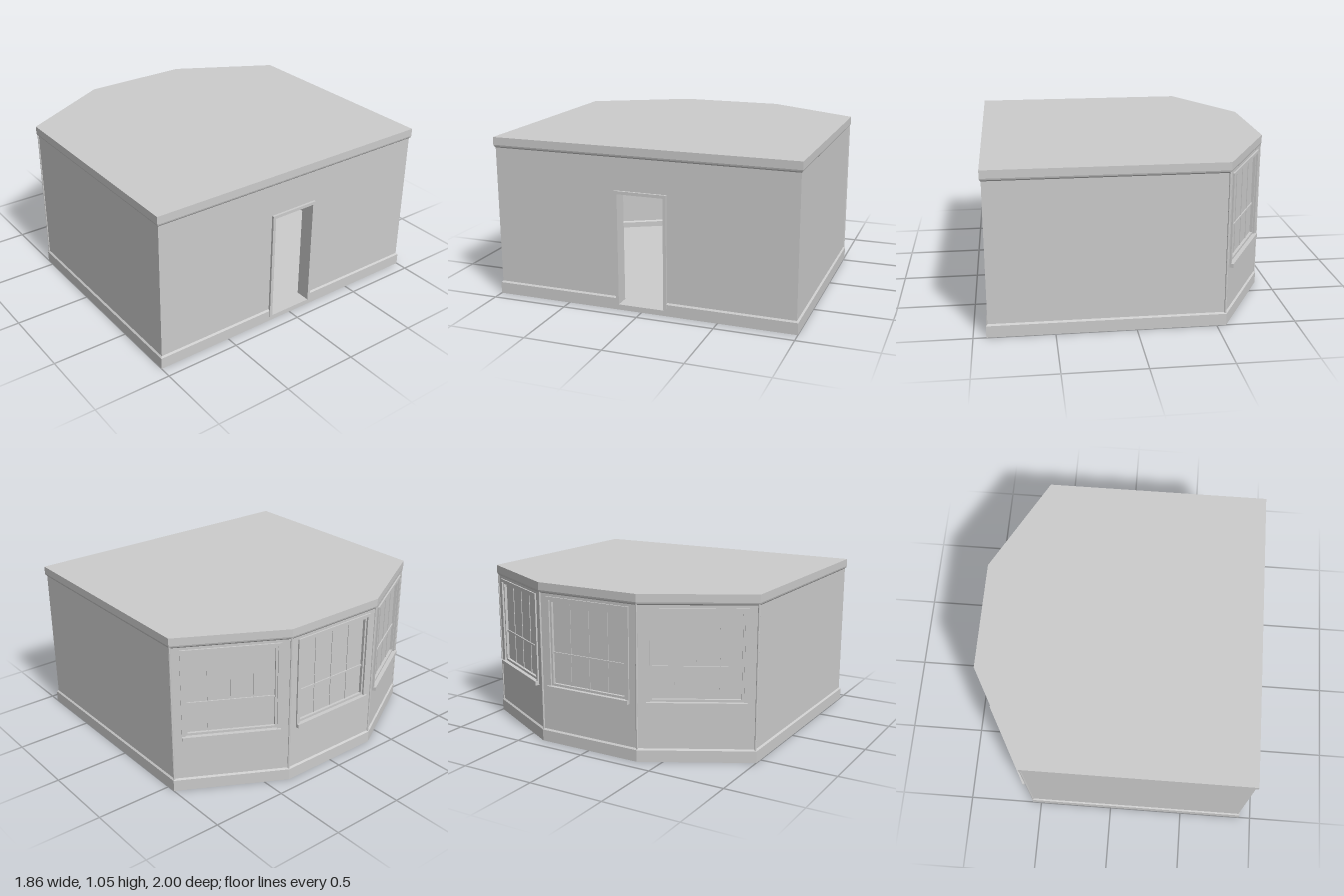
import * as THREE from 'three';

const material = new THREE.MeshStandardMaterial({ color: 0xcccccc, side: THREE.DoubleSide, flatShading: true });
const FLOOR = 0.035, CEILING = 1.01, TOP = 1.05;
const OUTER = 0.01, INNER = 0.08; // wall faces, inset from the slab edge

// footprint corners [x, z]: a square room with a three-sided bay at -x
const room = [[0.92, 1], [-0.56, 1], [-0.915, 0.36], [-0.915, -0.36], [-0.56, -1], [0.92, -1]];
const DOOR_EDGE = 5;
const roomWithDoor = [...room, [0.92, -0.165], [0.92, 0.165]];

function outward(points, i) {
  const n = points.length, a = points[(i + n) % n], b = points[(i + 1) % n];
  const dx = b[0] - a[0], dz = b[1] - a[1], l = Math.hypot(dx, dz);
  return [dz / l, -dx / l];
}

// footprint moved inwards by d with mitred corners
function inset(points, d) {
  return points.map((p, i) => {
    const m = outward(points, i - 1), n = outward(points, i);
    const k = d / (1 + m[0] * n[0] + m[1] * n[1]);
    return [p[0] - k * (m[0] + n[0]), p[1] - k * (m[1] + n[1])];
  });
}

function add(parent, name, geometry) {
  const mesh = new THREE.Mesh(geometry, material);
  mesh.name = name;
  parent.add(mesh);
  return mesh;
}

// moulding that follows the footprint; profile is [inset, y] from low to high
function moulding(points, profile, skipEdge = -1) {
  const pos = [];
  for (let k = 0; k < profile.length - 1; k++) {
    const low = inset(points, profile[k][0]), high = inset(points, profile[k + 1][0]);
    const y0 = profile[k][1], y1 = profile[k + 1][1];
    points.forEach((_, i) => {
      if (i === skipEdge) return;
      const j = (i + 1) % points.length;
      const pl = [low[i][0], y0, low[i][1]], ql = [low[j][0], y0, low[j][1]];
      const ph = [high[i][0], y1, high[i][1]], qh = [high[j][0], y1, high[j][1]];
      pos.push(...pl, ...qh, ...ql, ...pl, ...ph, ...qh);
    });
  }
  const g = new THREE.BufferGeometry();
  g.setAttribute('position', new THREE.Float32BufferAttribute(pos, 3));
  g.computeVertexNormals();
  return g;
}

function slab(y0, y1) {
  const shape = new THREE.Shape(room.map(([x, z]) => new THREE.Vector2(x, -z)));
  return new THREE.ExtrudeGeometry(shape, { depth: y1 - y0, bevelEnabled: false })
    .rotateX(-Math.PI / 2).translate(0, y0, 0);
}

function rectangle(Type, x0, x1, y0, y1) {
  return new Type([[x0, y0], [x1, y0], [x1, y1], [x0, y1]].map(([x, y]) => new THREE.Vector2(x, y)));
}

// rectangular frame: outer and opening are [halfWidth, bottom, top]
function frame(outer, opening, z0, z1) {
  const shape = rectangle(THREE.Shape, -outer[0], outer[0], outer[1], outer[2]);
  shape.holes.push(rectangle(THREE.Path, -opening[0], opening[0], opening[1], opening[2]));
  return new THREE.ExtrudeGeometry(shape, { depth: z1 - z0, bevelEnabled: false }).translate(0, 0, z0);
}

function box(x0, x1, y0, y1, z0, z1) {
  return new THREE.BoxGeometry(x1 - x0, y1 - y0, z1 - z0)
    .translate((x0 + x1) / 2, (y0 + y1) / 2, (z0 + z1) / 2);
}

// local frame of a wall: x along the wall, z pointing out of the room
function addWall(parent, i) {
  const a = room[i], b = room[(i + 1) % room.length], n = outward(room, i);
  const mid = [(a[0] + b[0]) / 2, (a[1] + b[1]) / 2];
  const wall = new THREE.Group();
  wall.name = 'wall';
  wall.position.set(mid[0], 0, mid[1]);
  wall.rotation.y = Math.atan2(n[0], n[1]);
  parent.add(wall);

  const isBay = i >= 1 && i <= 3, isDoor = i === DOOR_EDGE;
  for (const [name, d] of [['outerWallFace', OUTER], ['innerWallFace', INNER]]) {
    const ring = inset(room, d);
    const along = p => (p[0] - mid[0]) * n[1] - (p[1] - mid[1]) * n[0];
    const shape = rectangle(THREE.Shape, along(ring[(i + 1) % room.length]), along(ring[i]), FLOOR, CEILING);
    if (isBay) shape.holes.push(rectangle(THREE.Path, -0.29, 0.29, 0.375, 0.955));
    if (isDoor) shape.holes.push(rectangle(THREE.Path, -0.155, 0.155, 0.036, 0.76));
    const g = new THREE.ShapeGeometry(shape);
    if (d === INNER) { // face into the room
      const index = g.index.array;
      for (let k = 0; k < index.length; k += 3) [index[k], index[k + 1]] = [index[k + 1], index[k]];
      g.computeVertexNormals();
    }
    add(wall, name, g.translate(0, 0, -d));
  }
  if (isBay) addWindow(wall);
  if (isDoor) add(wall, 'doorCasing', frame([0.17, 0.03, 0.775], [0.15, 0.037, 0.755], -0.093, 0.005));
}

function addWindow(wall) {
  const w = new THREE.Group();
  w.name = 'window';
  wall.add(w);
  add(w, 'windowCasing', frame([0.305, 0.365, 0.965], [0.283, 0.385, 0.945], -0.09, 0));
  add(w, 'windowSill', box(-0.305, 0.305, 0.36, 0.385, -0.1, 0.015));
  add(w, 'sashFrame', frame([0.284, 0.384, 0.946], [0.27, 0.4, 0.932], -0.045, -0.012));
  add(w, 'glass', new THREE.PlaneGeometry(0.56, 0.56).translate(0, 0.665, -0.03));
  add(w, 'meetingRail', box(-0.275, 0.275, 0.595, 0.606, -0.038, -0.022));
  for (const x of [-0.14, 0, 0.14]) {
    add(w, 'upperGlazingBar', box(x - 0.003, x + 0.003, 0.606, 0.935, -0.034, -0.026));
    add(w, 'lowerGlazingBar', box(x - 0.003, x + 0.003, 0.4, 0.595, -0.034, -0.026));
  }
}

export function createModel() {
  const model = new THREE.Group();
  model.name = 'bayRoom';

  add(model, 'floor', slab(0, FLOOR));
  add(model, 'roof', slab(CEILING, TOP));
  room.forEach((_, i) => addWall(model, i));

  // skirtings stop at the doorway, the cornice runs all round
  add(model, 'outerSkirting', moulding(roomWithDoor, [[0, FLOOR], [0, 0.075], [OUTER, 0.085]], 6));
  add(model, 'innerSkirting', moulding(roomWithDoor, [[0.09, FLOOR], [0.09, 0.075], [INNER, 0.085]], 6));
  add(model, 'cornice', moulding(room, [[OUTER, 0.982], [0.003, 0.99], [0, 1.0], [0, CEILING]]));

  // slim posts on the bay corners
  inset(room, OUTER).slice(1, 5).forEach(([x, z]) => {
    add(model, 'cornerPost', new THREE.CylinderGeometry(0.007, 0.007, 0.92, 8).translate(x, 0.535, z));
  });
  return model;
}
